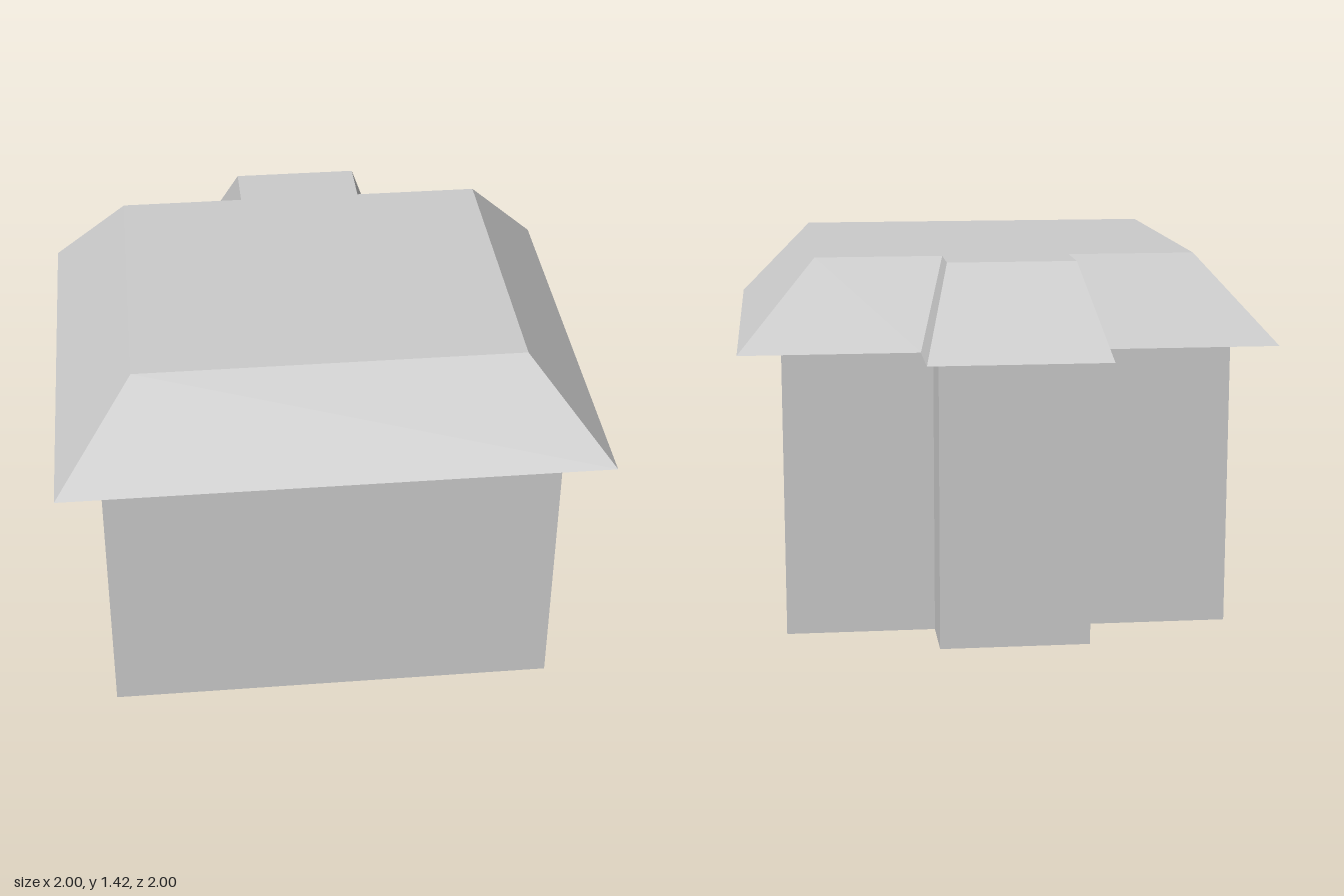
import * as THREE from 'three';

const WALL_TOP = 1.09, ROOF_TOP = 1.417, TAPER = 0.71;

// T-shaped floor plan: a wide hall with a narrow bay at the back
function plan(half, back, bayHalf) {
  const right = [[half, -half], [half, -back], [bayHalf, -back], [bayHalf, half]];
  const left = right.map(([x, y]) => [-x, y]).reverse();
  return new THREE.Shape([...right, ...left].map(([x, y]) => new THREE.Vector2(x, y)));
}

// Upright solid on the plan, its upper outline scaled towards the centre
function solid(shape, y0, y1, taper) {
  const geo = new THREE.ExtrudeGeometry(shape, { depth: y1 - y0, bevelEnabled: false });
  const pos = geo.attributes.position;
  for (let i = 0; i < pos.count; i++) {
    if (pos.getZ(i) > 0.001) pos.setXY(i, pos.getX(i) * taper, pos.getY(i) * taper);
  }
  geo.rotateX(-Math.PI / 2).translate(0, y0, 0);
  geo.computeVertexNormals();
  return geo;
}

export function createModel() {
  const group = new THREE.Group();
  group.name = 'house';
  const material = new THREE.MeshStandardMaterial({ color: 0xcccccc, flatShading: true });

  // Walls with the rear bay
  const walls = new THREE.Mesh(solid(plan(0.84, -0.6, 0.28), 0, WALL_TOP, 1), material);
  walls.name = 'walls';

  // Hipped roof with flat top, overhanging the walls
  const roof = new THREE.Mesh(solid(plan(1, -0.715, 0.334), WALL_TOP, ROOF_TOP, TAPER), material);
  roof.name = 'roof';

  group.add(walls, roof);
  return group;
}
